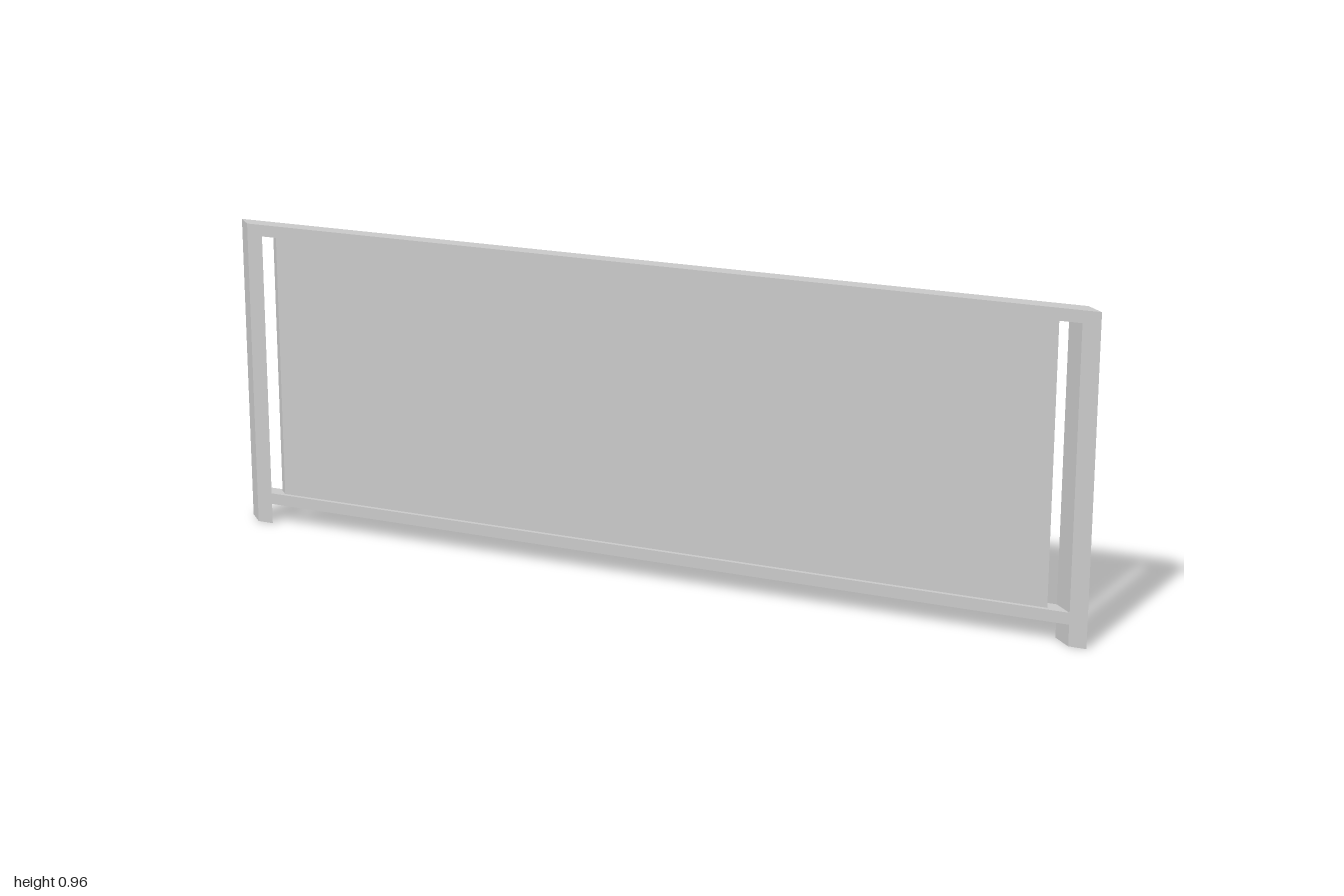
import * as THREE from 'three';

const SLOPE = 1.007; // z run per unit of x along the diagonal

// Box between two x and y limits, slanted so that z follows x
function slantedBox(name, x0, x1, y0, y1, depth, material) {
  const geometry = new THREE.BoxGeometry(x1 - x0, y1 - y0, depth);
  geometry.translate((x0 + x1) / 2, (y0 + y1) / 2, 0);
  const p = geometry.attributes.position;
  for (let i = 0; i < p.count; i++) p.setZ(i, p.getZ(i) + SLOPE * p.getX(i));
  geometry.computeVertexNormals();
  const mesh = new THREE.Mesh(geometry, material);
  mesh.name = name;
  return mesh;
}

export function createModel() {
  const group = new THREE.Group();
  group.name = 'diagonalRailing';
  const material = new THREE.MeshStandardMaterial({ color: 0xcccccc, flatShading: true });
  const outer = 0.956, inner = 0.919, panelHalf = 0.88;
  const top = 0.964, depth = 0.075;

  // End posts, running down to the ground as feet
  group.add(slantedBox('leftPost', inner, outer, 0, top, depth, material));
  group.add(slantedBox('rightPost', -outer, -inner, 0, top, depth, material));

  // Rails between the posts
  group.add(slantedBox('topRail', -inner, inner, 0.928, top, depth, material));
  group.add(slantedBox('bottomRail', -inner, inner, 0.064, 0.099, depth, material));

  // Infill panel, thinner than the frame, with a gap at each side
  group.add(slantedBox('panel', -panelHalf, panelHalf, 0.099, 0.928, 0.037, material));
  return group;
}
